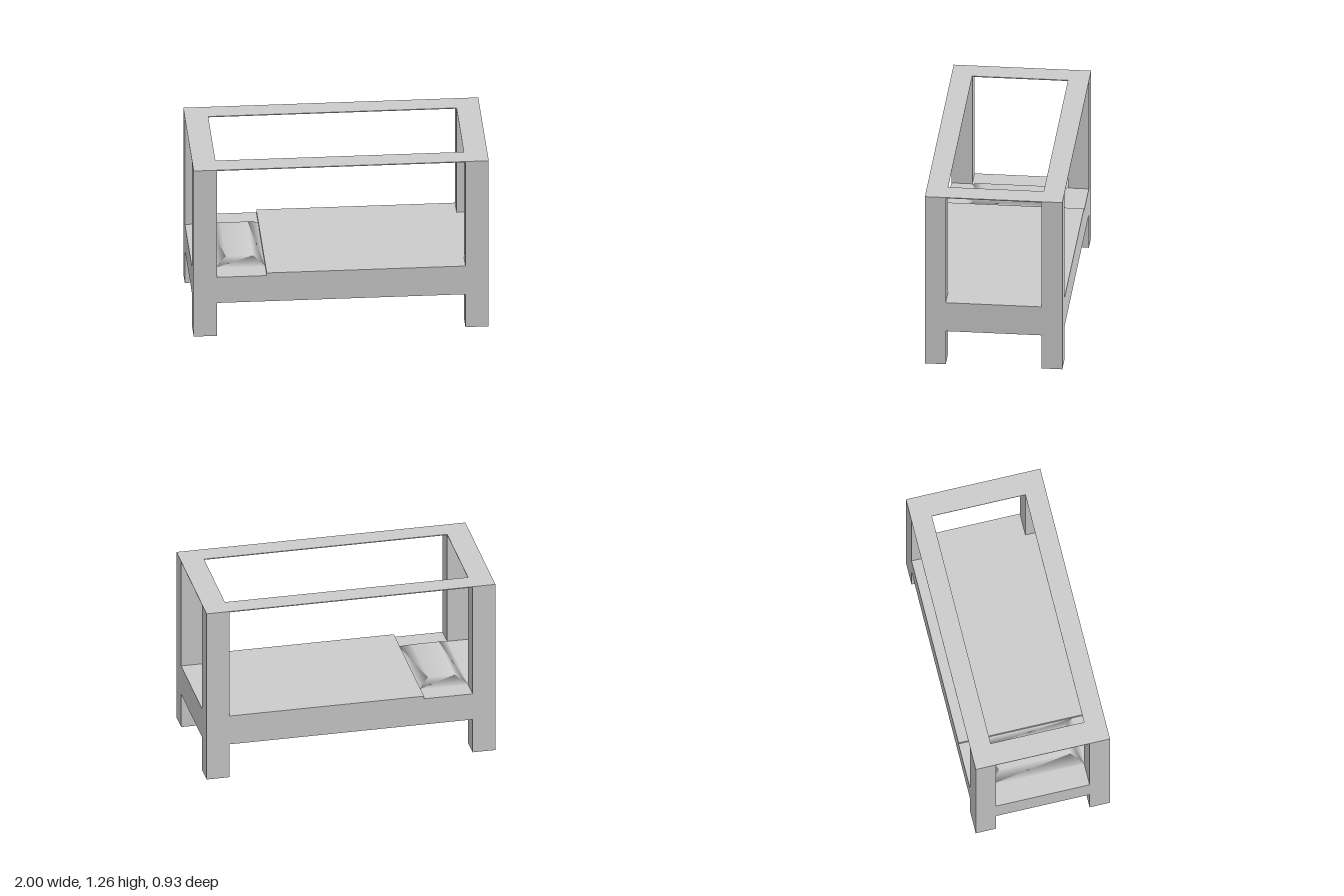
import * as THREE from 'three';
import { mergeVertices } from 'three/addons/utils/BufferGeometryUtils.js';

const HX = 1, HZ = 0.467;        // outer half sizes
const IX = 0.842, IZ = 0.325;    // inner half sizes, between the posts
const HEIGHT = 1.26, BASE_Y = 0.25, BED_Y = 0.445, COVER_Y = 0.465;
const COVER_X = -0.505;          // edge of the blanket next to the pillow

export function createModel() {
  const group = new THREE.Group();
  const material = new THREE.MeshStandardMaterial({ color: 0xcccccc });

  function add(name, geometry) {
    const mesh = new THREE.Mesh(geometry, material);
    mesh.name = name;
    group.add(mesh);
    return mesh;
  }

  // Box given by its lower and upper corners
  function block(name, x0, x1, y0, y1, z0, z1) {
    add(name, new THREE.BoxGeometry(x1 - x0, y1 - y0, z1 - z0))
      .position.set((x0 + x1) / 2, (y0 + y1) / 2, (z0 + z1) / 2);
  }

  // Four corner posts
  for (const sx of [-1, 1]) {
    for (const sz of [-1, 1]) {
      const name = (sz > 0 ? 'front' : 'back') + (sx > 0 ? 'Left' : 'Right') + 'Post';
      add(name, new THREE.BoxGeometry(HX - IX, HEIGHT, HZ - IZ))
        .position.set(sx * (HX + IX) / 2, HEIGHT / 2, sz * (HZ + IZ) / 2);
    }
  }

  // Mattress base and the blanket lying on it
  block('mattress', -HX, HX, BASE_Y, BED_Y, -HZ, HZ);
  block('blanket', COVER_X, HX, BED_Y, COVER_Y, -HZ, HZ);

  // Pillow: a box with its top drawn in, shaded smoothly
  const inset = 0.076;
  const width = COVER_X + IX, depth = 2 * IZ, thick = 0.045;
  let pillow = new THREE.BoxGeometry(width, thick, depth);
  const p = pillow.attributes.position;
  for (let i = 0; i < p.count; i++) {
    if (p.getY(i) > 0) {
      p.setX(i, Math.sign(p.getX(i)) * (width / 2 - inset));
      p.setZ(i, Math.sign(p.getZ(i)) * (depth / 2 - inset));
    }
  }
  pillow.deleteAttribute('normal');
  pillow.deleteAttribute('uv');
  pillow = mergeVertices(pillow);
  pillow.computeVertexNormals();
  add('pillow', pillow).position.set((COVER_X - IX) / 2, BED_Y + thick / 2, 0);

  // Thin canopy frame joining the tops of the posts
  const rectangle = (Type, x, z) => new Type([
    new THREE.Vector2(-x, -z), new THREE.Vector2(x, -z),
    new THREE.Vector2(x, z), new THREE.Vector2(-x, z),
  ]);
  const outline = rectangle(THREE.Shape, HX, HZ);
  outline.holes.push(rectangle(THREE.Path, IX, IZ));
  const frame = new THREE.ExtrudeGeometry(outline, { depth: 0.006, bevelEnabled: false });
  frame.rotateX(-Math.PI / 2);
  add('canopyFrame', frame).position.y = HEIGHT - 0.006;

  return group;
}
